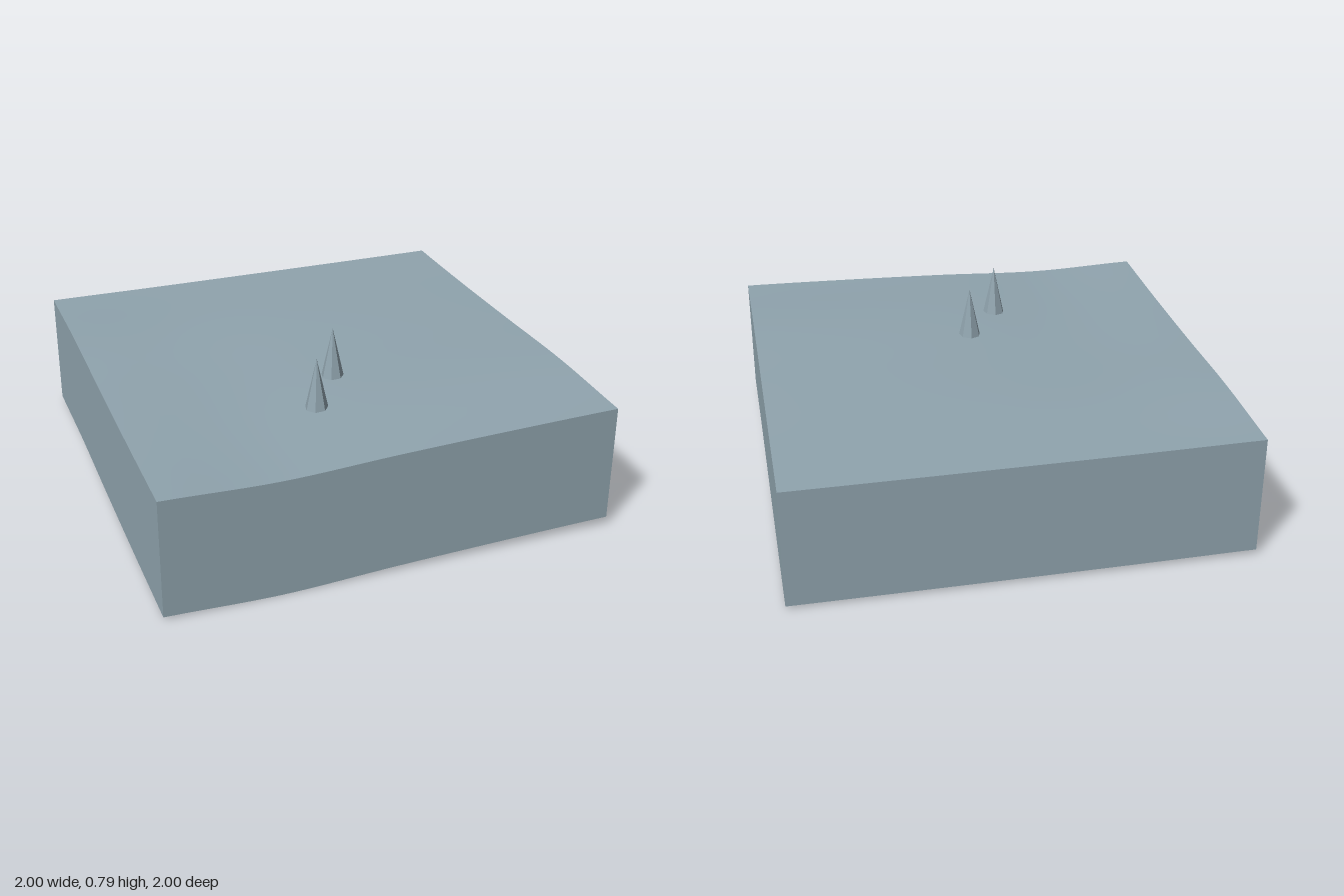
import * as THREE from 'three';

const THICK = 0.535, SEG = 32;

// Heights along one border of the terrain, smoothly interpolated for t in 0..1
function border(heights) {
  const curve = new THREE.SplineCurve(heights.map((h, i) => new THREE.Vector2(i / (heights.length - 1), h)));
  return (t) => curve.getPoint(t).y;
}
const front = border([0.015, 0.0, 0.02, 0.034, 0.043]);
const back = border([0.024, 0.019, 0.016, 0.014, 0.013]);
const negX = border([0.024, 0.032, 0.02, 0.014, 0.015]);
const posX = border([0.013, 0.02, 0.034, 0.05, 0.043]);
const mix = THREE.MathUtils.lerp;

// Gently rolling ground blended between its four borders
function groundHeight(x, z) {
  const u = THREE.MathUtils.clamp((x + 1) / 2, 0, 1);
  const v = THREE.MathUtils.clamp((z + 1) / 2, 0, 1);
  const corners = mix(mix(back(0), back(1), u), mix(front(0), front(1), u), v);
  return mix(back(u), front(u), v) + mix(negX(v), posX(v), u) - corners;
}

// Lay the vertices of a plane onto the rolling ground, keeping their own y
function drape(geometry) {
  const p = geometry.attributes.position;
  for (let i = 0; i < p.count; i++) {
    p.setY(i, p.getY(i) + groundHeight(p.getX(i), p.getZ(i)));
  }
  geometry.computeVertexNormals();
  return geometry;
}

export function createModel() {
  const group = new THREE.Group();
  const slate = new THREE.MeshStandardMaterial({ color: 0x90a4ae, side: THREE.DoubleSide });
  slate.name = 'slateBlue';
  const spikeSlate = slate.clone();
  spikeSlate.name = 'slateBlueFaceted';
  spikeSlate.flatShading = true;

  const add = (name, geometry, material) => {
    const mesh = new THREE.Mesh(geometry, material);
    mesh.name = name;
    group.add(mesh);
    return mesh;
  };

  // Rolling top surface
  const top = new THREE.PlaneGeometry(2, 2, SEG, SEG).rotateX(-Math.PI / 2).translate(0, THICK, 0);
  add('groundSurface', drape(top), slate);

  // Four side walls, open underneath
  ['frontWall', 'leftWall', 'backWall', 'rightWall'].forEach((name, i) => {
    const wall = new THREE.PlaneGeometry(2, THICK, SEG, 1)
      .translate(0, THICK / 2, 1)
      .rotateY(i * Math.PI / 2);
    add(name, drape(wall), slate);
  });

  // Seven-sided spikes standing on the ground
  for (const [name, x, z, base, tip] of [
    ['middleSpike', 0, 0.25, 0.55, 0.787],
    ['frontSpike', -0.168, 0.5, 0.545, 0.781],
  ]) {
    const spike = add(name, new THREE.ConeGeometry(0.052, tip - base, 7), spikeSlate);
    spike.rotation.y = Math.PI;
    spike.position.set(x, (base + tip) / 2, z);
  }
  return group;
}
